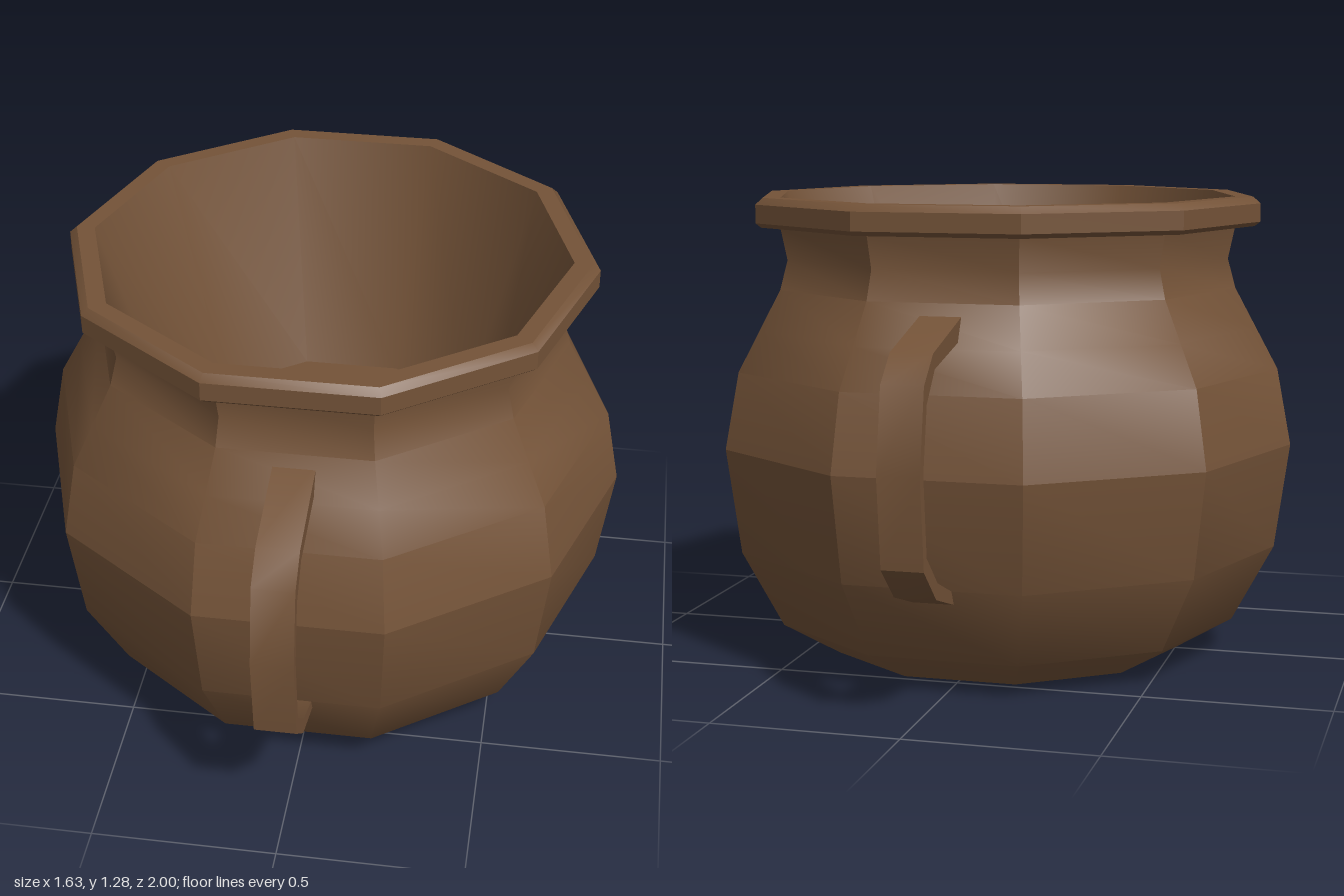
import * as THREE from 'three';
import { toCreasedNormals } from 'three/addons/utils/BufferGeometryUtils.js';

const SIDES = 10;
const vec = ([x, y]) => new THREE.Vector2(x, y);

export function createModel() {
  const model = new THREE.Group();
  model.name = 'pot';
  const clay = new THREE.MeshStandardMaterial({ color: 0x745338 });

  // Ten-sided lathe with a corner on +x and flats facing front and back
  const addLathe = (name, profile) => {
    const lathe = new THREE.LatheGeometry(profile.map(vec), SIDES, Math.PI / 2);
    lathe.deleteAttribute('normal');
    const mesh = new THREE.Mesh(toCreasedNormals(lathe, 0.6), clay);
    mesh.name = name;
    model.add(mesh);
  };

  // Round belly with a crease at its widest ring, narrowing to the neck
  addLathe('base', [[0, 0], [0.5, 0]]);
  addLathe('lowerBelly', [[0.5, 0], [0.66, 0.095], [0.775, 0.31], [0.815, 0.6]]);
  addLathe('upperBelly', [
    [0.815, 0.6], [0.775, 0.81], [0.715, 0.92], [0.655, 1.03], [0.633, 1.11], [0.652, 1.2],
  ]);

  // Bevelled rim
  addLathe('rim', [
    [0.645, 1.2], [0.705, 1.2], [0.72, 1.212], [0.72, 1.262], [0.7, 1.28], [0.65, 1.28],
  ]);

  // Tapered inner wall and raised floor
  addLathe('inside', [[0.65, 1.28], [0.44, 0.63], [0, 0.63]]);

  // Handle side outline as (z, y): outer edge downwards, then inner edge upwards
  const outline = [
    [0.62, 1.003], [0.885, 0.935], [0.962, 0.865], [1, 0.65], [0.972, 0.412], [0.87, 0.32], [0.7, 0.265],
    [0.7, 0.295], [0.858, 0.36], [0.948, 0.442], [0.972, 0.65], [0.94, 0.818], [0.872, 0.895], [0.62, 0.947],
  ];
  const width = 0.11;
  const strap = new THREE.ExtrudeGeometry(new THREE.Shape(outline.map(vec)), { depth: width, bevelEnabled: false });
  strap.translate(0, 0, -width / 2).rotateY(-Math.PI / 2);
  const handle = toCreasedNormals(strap, 0.7);

  // Matching handles at front and back
  for (const [name, turn] of [['frontHandle', 0], ['backHandle', Math.PI]]) {
    const mesh = new THREE.Mesh(handle, clay);
    mesh.name = name;
    mesh.rotation.y = turn;
    model.add(mesh);
  }
  return model;
}
